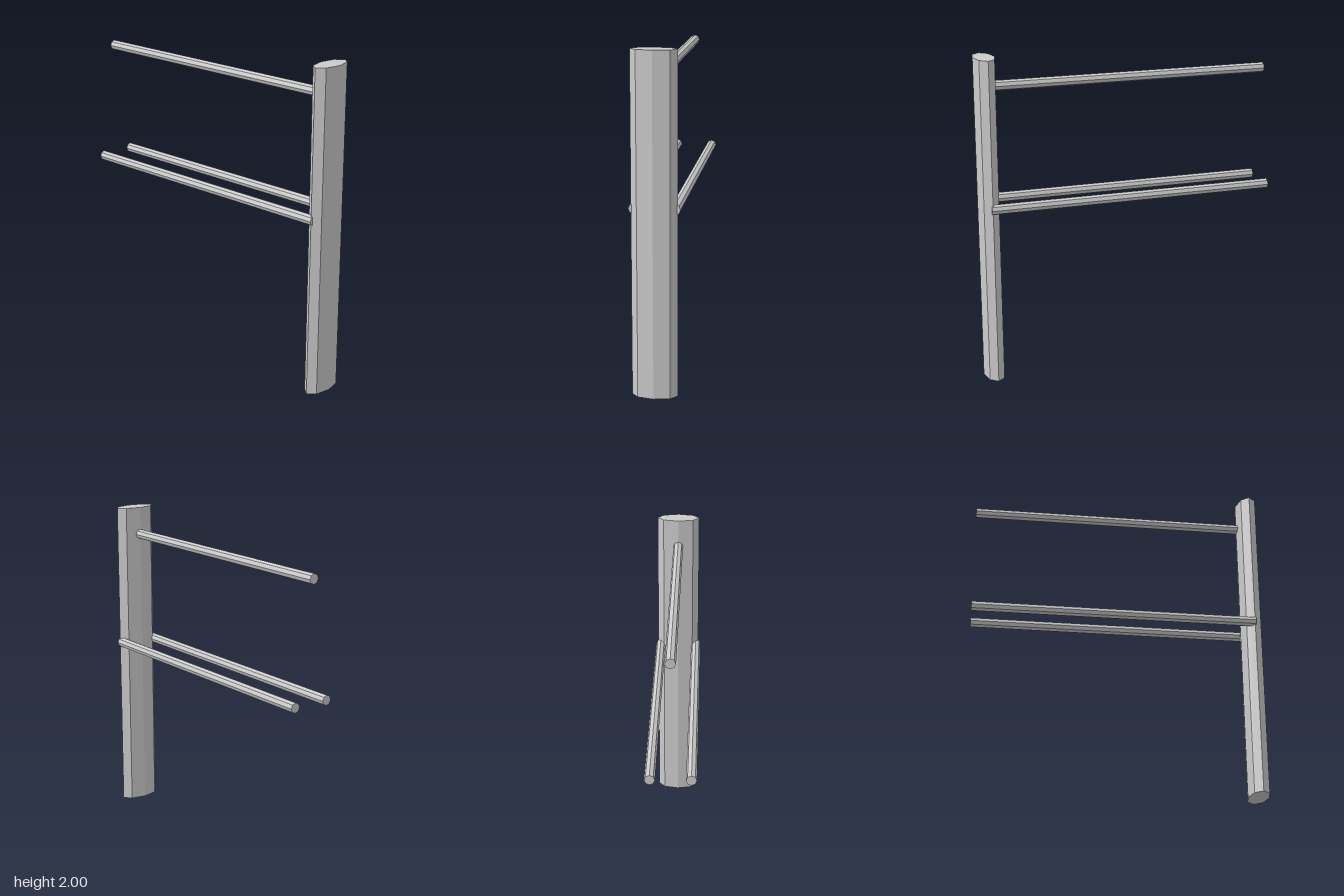
import * as THREE from 'three';

export function createModel() {
  const group = new THREE.Group();
  const material = new THREE.MeshStandardMaterial({ color: 0xcccccc, flatShading: true });
  const postX = 0.847;

  // Upright post: eight-sided, flattened across x
  const postGeometry = new THREE.CylinderGeometry(1, 1, 2, 8);
  postGeometry.scale(0.065, 1, 0.133);
  const post = new THREE.Mesh(postGeometry, material);
  post.name = 'post';
  post.position.set(postX, 1, 0);
  group.add(post);

  // Rails: thin eight-sided rods running from the post towards -x
  const railEnd = -0.912;
  const railLength = 0.853 - railEnd;
  const railGeometry = new THREE.CylinderGeometry(0.031, 0.031, railLength, 8);
  railGeometry.rotateZ(Math.PI / 2);
  const addRail = (name, y, z) => {
    const rail = new THREE.Mesh(railGeometry, material);
    rail.name = name;
    rail.position.set(railEnd + railLength / 2, y, z);
    group.add(rail);
  };
  addRail('topRail', 1.827, 0);
  addRail('frontLowerRail', 1.107, 0.117);
  addRail('backLowerRail', 1.107, -0.117);

  return group;
}
